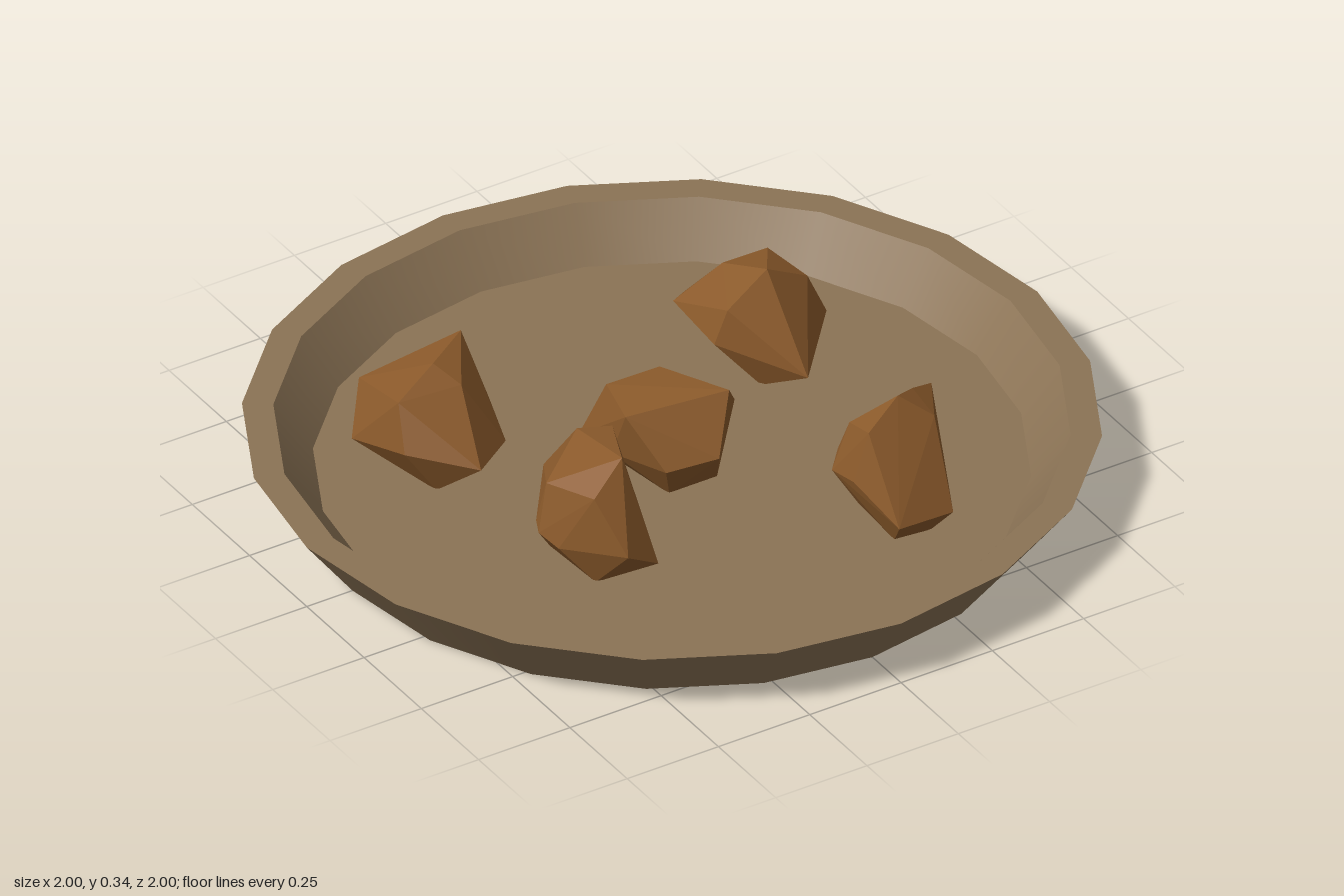
import * as THREE from 'three';
import { ConvexGeometry } from 'three/addons/geometries/ConvexGeometry.js';
import { mergeGeometries } from 'three/addons/utils/BufferGeometryUtils.js';

const V = (p) => new THREE.Vector3(...p);

// Shallow 20-sided dish: each profile strip is turned separately to keep its edges sharp
function makePlate() {
  const profile = [[0, 0], [0.875, 0], [1, 0.165], [0.927, 0.165], [0.835, 0.046], [0, 0.046]];
  const strips = [];
  for (let i = 0; i < profile.length - 1; i++) {
    const pts = [profile[i], profile[i + 1]].map(([r, y]) => new THREE.Vector2(r, y));
    strips.push(new THREE.LatheGeometry(pts, 20));
  }
  const plate = new THREE.Mesh(mergeGeometries(strips), new THREE.MeshStandardMaterial({ color: 0x8b7355 }));
  plate.name = 'plate';
  return plate;
}

// Corner points of each faceted chunk: crown, waist, then base
const chunks = {
  backRightChunk: [
    [-0.58, 0.265, -0.27], [-0.46, 0.31, -0.31], [-0.34, 0.32, -0.38], [-0.42, 0.27, -0.25],
    [-0.62, 0.1, -0.41], [-0.55, 0.2, -0.49], [-0.43, 0.17, -0.51], [-0.35, 0.15, -0.48],
    [-0.3, 0.15, -0.32], [-0.33, 0.11, -0.2], [-0.46, 0.13, -0.1], [-0.6, 0.16, -0.21],
    [-0.52, 0.04, -0.38], [-0.4, 0.04, -0.38], [-0.4, 0.04, -0.22], [-0.52, 0.04, -0.2],
  ],
  backLeftChunk: [
    [0.42, 0.29, -0.255], [0.29, 0.24, -0.22], [0.5, 0.25, -0.38], [0.37, 0.26, -0.37], [0.54, 0.22, -0.27],
    [0.26, 0.17, -0.41], [0.32, 0.15, -0.455], [0.45, 0.15, -0.47], [0.56, 0.15, -0.38],
    [0.58, 0.12, -0.25], [0.41, 0.1, -0.06], [0.26, 0.15, -0.23],
    [0.35, 0.04, -0.37], [0.5, 0.04, -0.37], [0.47, 0.04, -0.16], [0.35, 0.04, -0.17],
  ],
  middleChunk: [
    [0.075, 0.295, 0.13], [-0.165, 0.265, 0.06], [-0.13, 0.265, -0.08], [0.01, 0.27, -0.07], [0.14, 0.2, 0.05],
    [-0.165, 0.1, -0.145], [-0.015, 0.11, -0.18], [0.155, 0.16, -0.03], [0.01, 0.16, 0.19],
    [-0.11, 0.14, 0.15], [-0.165, 0.13, 0],
    [-0.08, 0.04, -0.1], [0.08, 0.04, -0.06], [0.06, 0.04, 0.1], [-0.07, 0.04, 0.1],
  ],
  frontRightChunk: [
    [-0.325, 0.345, 0.3], [-0.32, 0.31, 0.095], [-0.245, 0.31, 0.13], [-0.42, 0.28, 0.33], [-0.47, 0.27, 0.2],
    [-0.5, 0.15, 0.215], [-0.485, 0.16, 0.18], [-0.355, 0.17, 0.005], [-0.225, 0.18, 0.095],
    [-0.235, 0.12, 0.21], [-0.285, 0.09, 0.395], [-0.38, 0.15, 0.415], [-0.48, 0.13, 0.27],
    [-0.42, 0.04, 0.14], [-0.29, 0.04, 0.14], [-0.29, 0.04, 0.32], [-0.41, 0.04, 0.32],
  ],
  frontLeftChunk: [
    [0.355, 0.345, 0.42], [0.25, 0.3, 0.46], [0.42, 0.32, 0.38], [0.5, 0.28, 0.335], [0.43, 0.285, 0.46], [0.26, 0.27, 0.36],
    [0.215, 0.15, 0.355], [0.25, 0.18, 0.325], [0.435, 0.19, 0.245], [0.505, 0.17, 0.335],
    [0.4, 0.1, 0.59], [0.24, 0.12, 0.61], [0.215, 0.17, 0.45],
    [0.28, 0.04, 0.37], [0.42, 0.04, 0.3], [0.44, 0.04, 0.42], [0.36, 0.04, 0.55], [0.27, 0.04, 0.54],
  ],
};

export function createModel() {
  const group = new THREE.Group();
  group.add(makePlate());
  const brown = new THREE.MeshStandardMaterial({ color: 0x8b5a2b });
  brown.flatShading = true;
  for (const [name, points] of Object.entries(chunks)) {
    const chunk = new THREE.Mesh(new ConvexGeometry(points.map(V)), brown);
    chunk.name = name;
    group.add(chunk);
  }
  return group;
}
